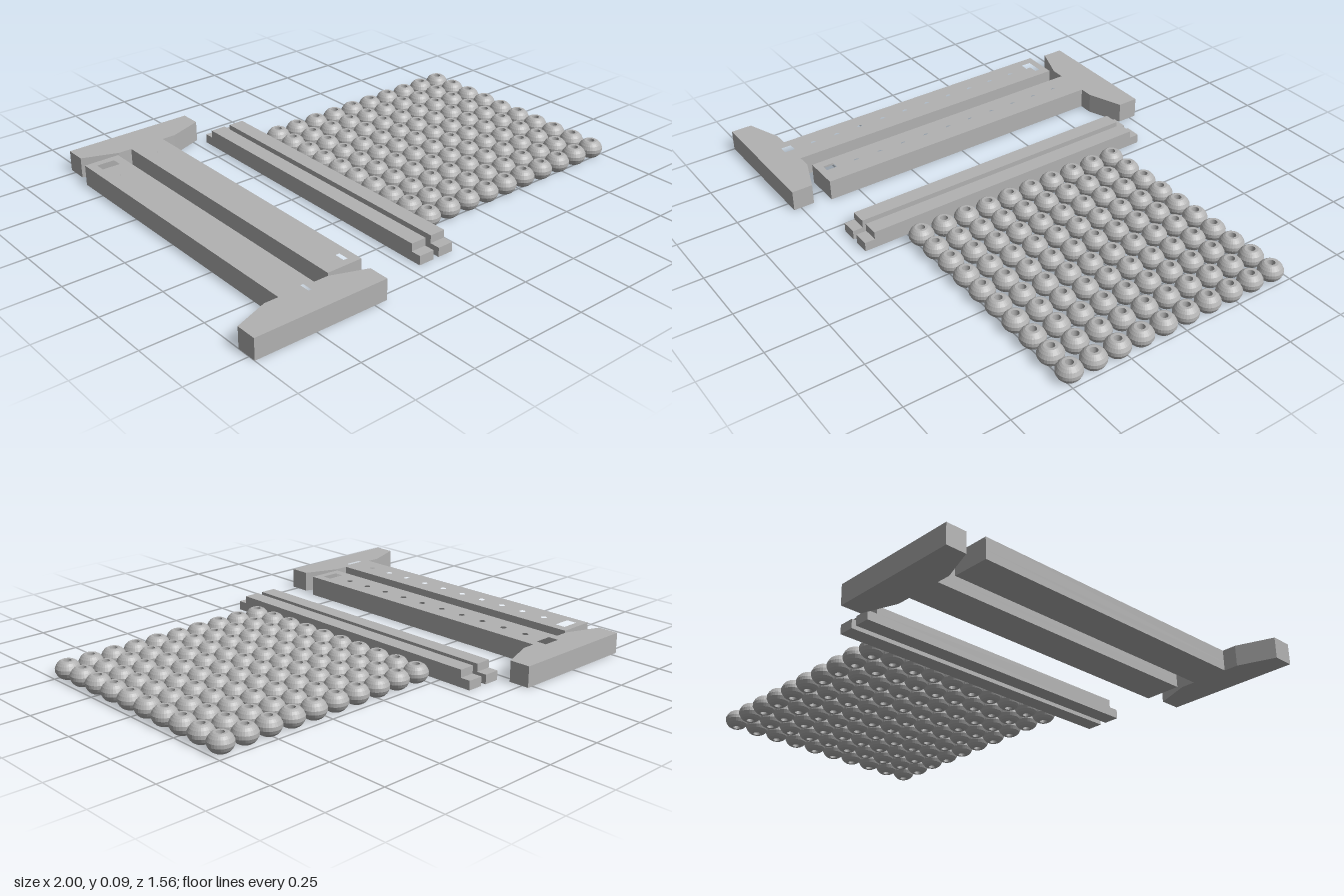
import * as THREE from 'three';

export function createModel() {
  const model = new THREE.Group();
  const grey = new THREE.MeshStandardMaterial({ color: 0xb2b2b2 });
  grey.name = 'plain grey';

  const add = (parent, geometry, name) => {
    const mesh = new THREE.Mesh(geometry, grey);
    mesh.name = name;
    parent.add(mesh);
    return mesh;
  };

  // Flat plate lying on the ground plane; shape y becomes -z
  const plate = (shape, bottom, top) => {
    const g = new THREE.ExtrudeGeometry(shape, { depth: top - bottom, bevelEnabled: false, curveSegments: 8 });
    g.rotateX(-Math.PI / 2);
    g.translate(0, bottom, 0);
    return g;
  };

  // T-shaped outline given as (x, z), foot at +z
  const half = [[0.075, -0.627], [0.075, 0.636], [0.133, 0.636], [0.277, 0.69], [0.277, 0.777]];
  const outline = () => new THREE.Shape([
    ...half.map(([x, z]) => new THREE.Vector2(x, -z)),
    ...half.slice().reverse().map(([x, z]) => new THREE.Vector2(-x, -z)),
  ]);

  // Side frames: solid floor plus an upper layer with blind sockets
  const upper = outline();
  for (let i = 0; i < 10; i++) {
    const hole = new THREE.Path();
    hole.absarc(0, -(-0.462 + i * 0.111), 0.0125, 0, Math.PI * 2, true);
    upper.holes.push(hole);
  }
  for (const z of [-0.574, 0.646]) {
    upper.holes.push(new THREE.Path([[-0.038, -0.022], [-0.038, 0.022], [0.038, 0.022], [0.038, -0.022]]
      .map(([x, y]) => new THREE.Vector2(x, y - z))));
  }
  const floorGeometry = plate(outline(), 0, 0.035);
  const socketGeometry = plate(upper, 0.035, 0.085);
  for (const [name, x, z, turn] of [['leftSideFrame', -0.502, -0.003, Math.PI], ['rightSideFrame', -0.723, 0.003, 0]]) {
    const frame = new THREE.Group();
    frame.name = name;
    add(frame, floorGeometry, 'frameFloor');
    add(frame, socketGeometry, 'frameSockets');
    frame.position.set(x, 0, z);
    frame.rotation.y = turn;
    model.add(frame);
  }

  // Cross rails with half-height tenons, side profile extruded across x
  const profile = new THREE.Shape([
    [-0.666, 0], [0.666, 0], [0.666, 0.038], [0.623, 0.038],
    [0.623, 0.07], [-0.623, 0.07], [-0.623, 0.038], [-0.666, 0.038],
  ].map(([z, y]) => new THREE.Vector2(z, y)));
  const railGeometry = new THREE.ExtrudeGeometry(profile, { depth: 0.066, bevelEnabled: false });
  railGeometry.translate(0, 0, -0.033);
  railGeometry.rotateY(Math.PI / 2);
  for (const x of [-0.173, -0.081]) add(model, railGeometry, 'crossRail').position.set(x, 0, 0.018);

  // Bead: rounded shoulders, a straight rim band and a through hole
  const bead = [[0.015, 0], [0.026, 0], [0.034, 0.005], [0.042, 0.014], [0.049, 0.028]];
  const points = [
    ...bead,
    ...bead.slice().reverse().map(([r, y]) => [r, 0.07 - y]),
    bead[0],
  ].map(([r, y]) => new THREE.Vector2(r, y));
  // Flat facets keep the bands of the turned profile crisp
  const beadGeometry = new THREE.LatheGeometry(points, 28).toNonIndexed();
  beadGeometry.computeVertexNormals();
  const beads = new THREE.Group();
  beads.name = 'beads';
  for (let i = 0; i < 10; i++) {
    for (let j = 0; j < 10; j++) {
      add(beads, beadGeometry, 'bead').position.set(0.025 + i * 0.1029, 0, -0.445 + j * 0.1027);
    }
  }
  model.add(beads);
  return model;
}
